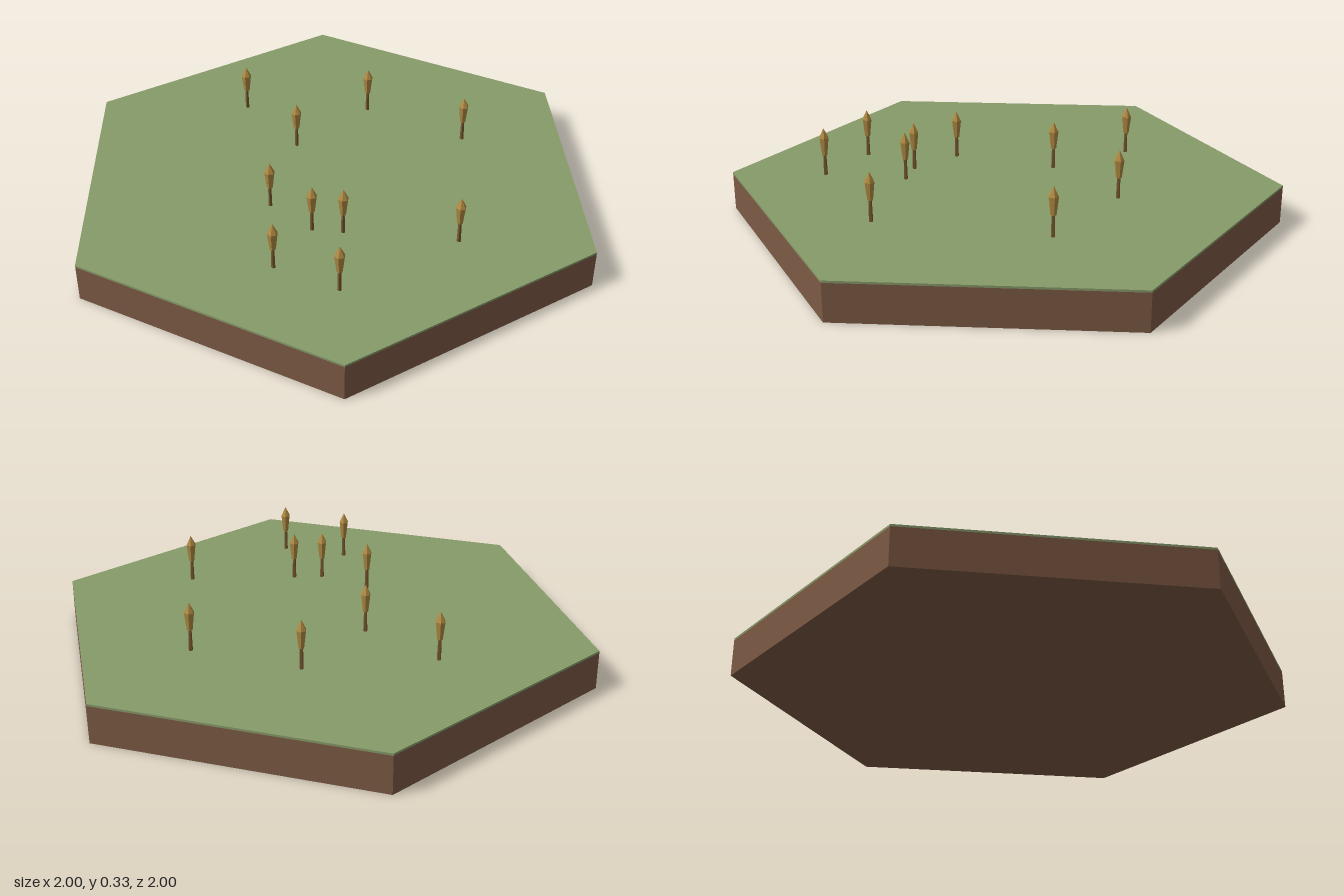
import * as THREE from 'three';

const material = (name, color) => {
  const m = new THREE.MeshStandardMaterial({ color, flatShading: true });
  m.name = name;
  return m;
};

export function createModel() {
  const model = new THREE.Group();
  model.name = 'reedTile';
  const soil = material('soil brown', 0x7d5a44);
  const grass = material('grass green', 0x879b6a);
  const stalk = material('stalk brown', 0x7a5a30);
  const seed = material('seed gold', 0xb08a42);

  const add = (parent, name, geometry, mat, y = 0) => {
    const mesh = new THREE.Mesh(geometry, mat);
    mesh.name = name;
    mesh.position.y = y;
    parent.add(mesh);
  };

  // Hexagonal slab, turned 15 degrees, with a thin grass layer
  const slab = (height) =>
    new THREE.CylinderGeometry(1.035, 1.035, height, 6, 1, false, Math.PI / 12);
  add(model, 'soilSlab', slab(0.14), soil, 0.07);
  add(model, 'grassLayer', slab(0.008), grass, 0.144);

  // Reeds: a thin stalk under a faceted, pointed seed head
  const stalkGeometry = new THREE.CylinderGeometry(0.006, 0.008, 0.09, 5);
  const headProfile = [[0, 0.225], [0.011, 0.228], [0.019, 0.295], [0, 0.333]];
  const headGeometry = new THREE.LatheGeometry(
    headProfile.map(([r, y]) => new THREE.Vector2(r, y)), 6);
  const spots = [
    [-0.43, -0.36], [0.045, -0.45], [0.445, -0.325], [-0.17, -0.14], [-0.17, 0.255],
    [0.01, 0.36], [0.12, 0.35], [0.525, 0.31], [-0.07, 0.59], [0.175, 0.655],
  ];
  for (const [x, z] of spots) {
    const reed = new THREE.Group();
    reed.name = 'reed';
    reed.position.set(x, 0, z);
    add(reed, 'stalk', stalkGeometry, stalk, 0.19);
    add(reed, 'seedHead', headGeometry, seed);
    model.add(reed);
  }
  return model;
}
